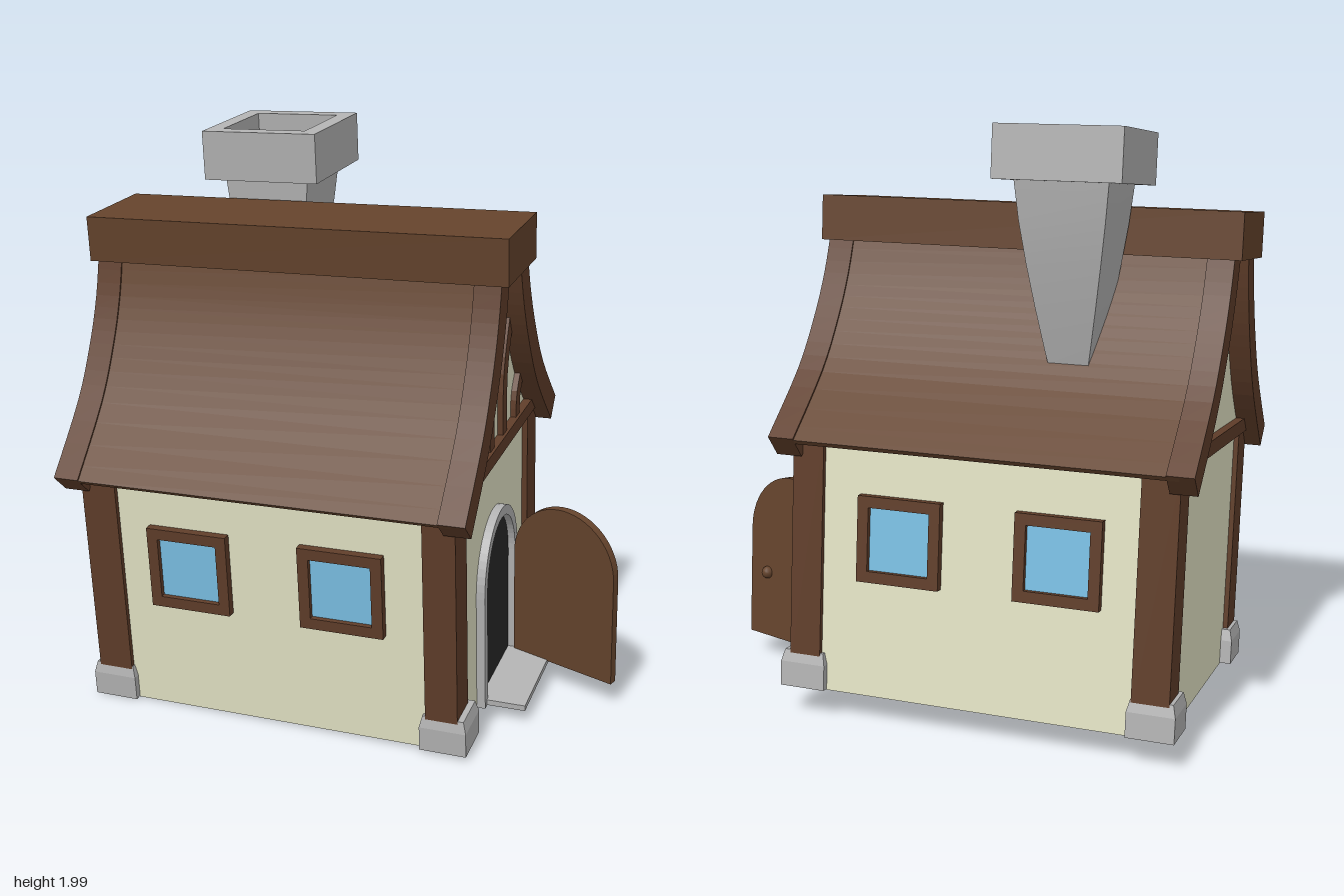
import * as THREE from 'three';

const mat = (name, color) => {
  const m = new THREE.MeshStandardMaterial({ color });
  m.name = name;
  return m;
};

export function createModel() {
  const plaster = mat('cream plaster', 0xe3e3c5);
  const timber = mat('dark timber', 0x5f3d29);
  const roofBrown = mat('roof brown', 0x64432c);
  const stone = mat('grey stone', 0xb2b2b2);
  const glass = mat('blue glass', 0x7bc0e4);
  const dark = mat('dark opening', 0x282828);

  const house = new THREE.Group();
  house.name = 'cottage';

  const add = (name, geo, material, x = 0, y = 0, z = 0, parent = house) => {
    const m = new THREE.Mesh(geo, material);
    m.name = name;
    m.position.set(x, y, z);
    parent.add(m);
    return m;
  };
  const box = (name, w, h, d, material, x, y, z, parent) =>
    add(name, new THREE.BoxGeometry(w, h, d), material, x, y, z, parent);
  const extrude = (shape, depth) =>
    new THREE.ExtrudeGeometry(shape, { depth, bevelEnabled: false, curveSegments: 14 });

  // Strip between two offsets of a smooth curve, mirrored by side
  const ribbon = (pts, t0, t1, side, n = 16) => {
    const curve = new THREE.SplineCurve(pts.map(p => new THREE.Vector2(...p)));
    const edge = t => Array.from({ length: n + 1 }, (_, i) => {
      const p = curve.getPoint(i / n), d = curve.getTangent(i / n);
      return new THREE.Vector2(side * (p.x + d.y * t), p.y - d.x * t);
    });
    return new THREE.Shape([...edge(t0), ...edge(t1).reverse()]);
  };

  const archShape = (hw, top, spring, cx = 0) => {
    const s = new THREE.Shape();
    s.moveTo(cx - hw, 0);
    s.lineTo(cx + hw, 0);
    s.lineTo(cx + hw, spring);
    s.absellipse(cx, spring, hw, top - spring, 0, Math.PI, false);
    s.lineTo(cx - hw, 0);
    return s;
  };

  // Walls with both gables
  const half = [[0.505, 0], [0.505, 0.91], [0.365, 1.05], [0.248, 1.225], [0.178, 1.38], [0.13, 1.53]];
  const wallShape = new THREE.Shape([
    ...half.map(([x, y]) => new THREE.Vector2(x, y)),
    ...half.slice().reverse().map(([x, y]) => new THREE.Vector2(-x, y)),
  ]);
  add('walls', extrude(wallShape, 1.28), plaster, 0, 0, -0.655);

  // Corner posts on stone feet
  const footProfile = [[0, 0], [0.08, 0], [0.08, 0.085], [0.07, 0.125], [0, 0.125]]
    .map(([r, y]) => new THREE.Vector2(r * Math.SQRT2, y));
  const footGeo = new THREE.LatheGeometry(footProfile, 4).rotateY(Math.PI / 4).toNonIndexed();
  footGeo.computeVertexNormals();
  for (const side of [1, -1]) {
    for (const [z, depth, footZ, end] of [[0.59, 0.11, 0.595, 'front'], [-0.61, 0.125, -0.615, 'back']]) {
      box(end + 'Post', 0.125, 0.8, depth, timber, side * 0.46, 0.47, z);
      add(end + 'Foot', footGeo, stone, side * 0.45, 0.003, footZ);
    }
  }

  // Cross beams under the gables
  box('frontBeam', 0.98, 0.05, 0.05, timber, 0, 0.885, 0.63);
  box('backBeam', 0.98, 0.05, 0.05, timber, 0, 0.885, -0.66);

  // Curved roof slopes, edge boards and gable braces
  const slope = [[0.16, 1.54], [0.207, 1.39], [0.28, 1.24], [0.395, 1.07], [0.6, 0.865]];
  const braces = [
    [[0.08, 0.9], [0.09, 1.12], [0.17, 1.3]],
    [[0.255, 0.9], [0.268, 0.99], [0.345, 1.075]],
  ];
  for (const side of [1, -1]) {
    add('roofSlope', extrude(ribbon(slope, 0.006, 0.026, side), 1.33), roofBrown, 0, 0, -0.68);
    const board = extrude(ribbon(slope, 0, 0.095, side), 0.09);
    add('frontEdgeBoard', board, timber, 0, 0, 0.61);
    add('backEdgeBoard', board, timber, 0, 0, -0.73);
    for (const b of braces)
      add('gableBrace', extrude(ribbon(b, -0.026, 0.026, side, 8), 0.035), timber, 0, 0, 0.61);
  }
  box('ridgeCap', 0.36, 0.155, 1.48, roofBrown, 0, 1.58, -0.015);

  // Chimney shaft narrows downward and leans to the ridge
  const shaftGeo = new THREE.BoxGeometry(0.31, 0.68, 0.31, 1, 5, 1);
  const p = shaftGeo.attributes.position;
  for (let i = 0; i < p.count; i++) {
    const k = Math.pow(Math.max(0, 0.5 - p.getY(i) / 0.68), 1.25);
    p.setX(i, p.getX(i) * (1 - 0.66 * k) - 0.1 * k);
    p.setZ(i, p.getZ(i) * (1 - 0.66 * k) + 0.005 * k);
  }
  shaftGeo.computeVertexNormals();
  add('chimneyShaft', shaftGeo, stone, 0.345, 1.4, -0.24);
  const square = (Ctor, h) => new Ctor([[-h, -h], [h, -h], [h, h], [-h, h]].map(q => new THREE.Vector2(...q)));
  const rim = square(THREE.Shape, 0.21);
  rim.holes.push(square(THREE.Path, 0.153));
  add('chimneyRim', extrude(rim, 0.17).rotateX(-Math.PI / 2), stone, 0.345, 1.73, -0.24);

  // Side windows
  const frame = square(THREE.Shape, 0.145);
  frame.holes.push(square(THREE.Path, 0.107));
  const frameGeo = extrude(frame, 0.035);
  for (const side of [1, -1]) {
    for (const z of [0.257, -0.288]) {
      const w = new THREE.Group();
      w.name = 'window';
      w.position.set(side * 0.5, 0.543, z);
      w.rotation.y = side * Math.PI / 2;
      add('windowFrame', frameGeo, timber, 0, 0, 0, w);
      box('windowPane', 0.22, 0.22, 0.009, glass, 0, 0, 0.012, w);
      house.add(w);
    }
  }

  // Doorway: stone arch, dark opening and step
  const arch = archShape(0.22, 0.66, 0.42);
  arch.holes.push(archShape(0.185, 0.625, 0.42));
  add('doorArch', extrude(arch, 0.045), stone, 0, 0, 0.61);
  add('doorOpening', extrude(archShape(0.19, 0.63, 0.42), 0.008), dark, 0, 0.002, 0.622);
  box('doorStep', 0.4, 0.02, 0.18, stone, 0, 0.014, 0.7);

  // Door swung open on its right-hand hinge
  const door = new THREE.Group();
  door.name = 'door';
  door.position.set(0.19, 0.02, 0.66);
  door.rotation.y = 1.21;
  add('doorLeaf', extrude(archShape(0.205, 0.61, 0.4, -0.205), 0.03), roofBrown, 0, 0, -0.015, door);
  add('doorKnob', new THREE.SphereGeometry(0.023, 12, 8), roofBrown, -0.32, 0.24, 0.016, door);
  house.add(door);

  // Whole cottage is turned and leans slightly
  house.rotation.set(-0.009, 0.41, 0.092, 'YXZ');
  house.position.set(0.081, 0.06, -0.035);

  const model = new THREE.Group();
  model.name = 'leaningCottage';
  model.add(house);
  return model;
}
